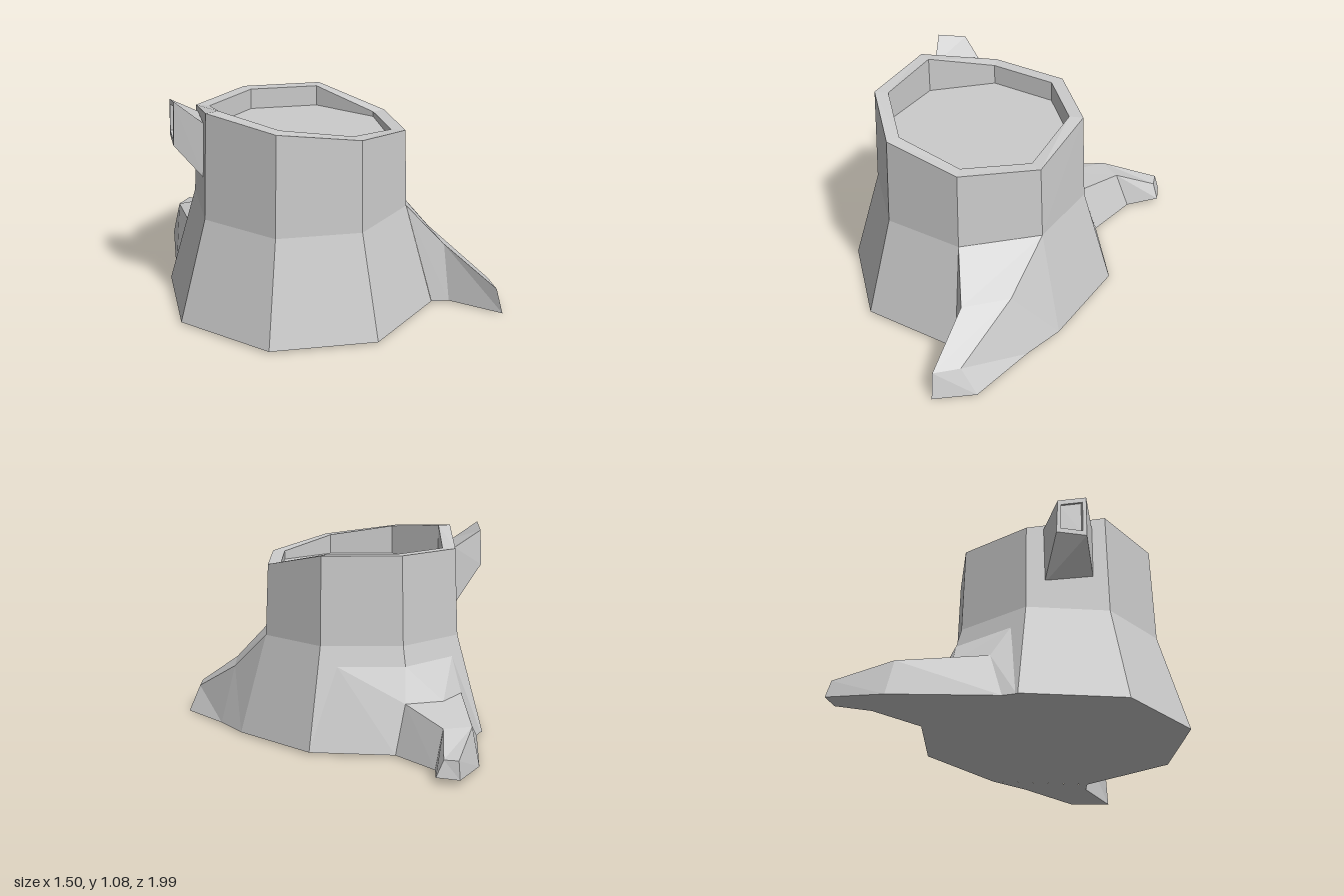
import * as THREE from 'three';

const grey = () => new THREE.MeshStandardMaterial({ color: 0xcccccc, flatShading: true });

// Skins a list of cross-sections (equal point counts) and closes the ends.
function loft(name, sections, { capStart = false, capEnd = true } = {}) {
  const pos = [];
  const face = (pts) => {
    for (let i = 1; i < pts.length - 1; i++) pos.push(...pts[0], ...pts[i], ...pts[i + 1]);
  };
  const n = sections[0].length;
  for (let i = 0; i < sections.length - 1; i++) {
    const a = sections[i], b = sections[i + 1];
    for (let j = 0; j < n; j++) {
      const k = (j + 1) % n;
      face([a[j], a[k], b[k], b[j]]);
    }
  }
  if (capStart) face([...sections[0]].reverse());
  if (capEnd) face(sections[sections.length - 1]);
  const geo = new THREE.BufferGeometry();
  geo.setAttribute('position', new THREE.Float32BufferAttribute(pos, 3));
  geo.computeVertexNormals();
  const mesh = new THREE.Mesh(geo, grey());
  mesh.name = name;
  return mesh;
}

// Eight-sided ring around the trunk axis; y is a number or one height per corner.
function ring(radius, y) {
  return Array.from({ length: 8 }, (_, i) => {
    const a = (-i * Math.PI) / 4;
    const h = Array.isArray(y) ? y[(8 - i) % 8] : y;
    return [-0.065 + radius * Math.cos(a), h, 0.225 + radius * Math.sin(a)];
  });
}

// Moves a section towards its centre, then shifts it along x.
function inset(section, factor, dx) {
  const c = [0, 1, 2].map((k) => section.reduce((s, p) => s + p[k], 0) / section.length);
  return section.map((p) => p.map((v, k) => c[k] + (v - c[k]) * factor + (k === 0 ? dx : 0)));
}

export function createModel() {
  const group = new THREE.Group();
  group.name = 'treeStump';

  // Flared trunk with a slanted rim and a sunken flat top
  const rim = [0.89, 0.91, 0.97, 1.02, 1.05, 0.97, 0.97, 0.97];
  group.add(loft('trunk', [
    ring(0.685, 0.01),
    ring(0.54, 0.52),
    ring(0.523, rim),
    ring(0.453, rim),
    ring(0.453, 0.865),
  ], { capStart: true }));

  // Root sweeping forward on the left side
  group.add(loft('frontRoot', [
    [[0.62, 0.01, 0.225], [0.475, 0.52, 0.225], [0.317, 0.52, 0.607], [0.42, 0.01, 0.71]],
    [[0.66, 0.01, 0.45], [0.57, 0.31, 0.48], [0.485, 0.31, 0.71], [0.5, 0.01, 0.75]],
    [[0.745, 0, 0.8], [0.67, 0.13, 0.84], [0.62, 0.13, 0.965], [0.645, 0, 0.99]],
  ]));

  // Long bent root at the back, with a ridge where it meets the trunk
  group.add(loft('backRoot', [
    [[-0.54, 0.01, -0.26], [-0.39, 0.42, -0.21], [-0.065, 0.42, -0.345], [0.25, 0.42, -0.215], [0.42, 0.01, -0.26]],
    [[-0.49, 0.01, -0.31], [-0.39, 0.25, -0.32], [-0.23, 0.25, -0.44], [-0.03, 0.25, -0.42], [0.045, 0.01, -0.47]],
    [[-0.25, 0.01, -0.79], [-0.235, 0.195, -0.74], [-0.235, 0.195, -0.74], [-0.09, 0.195, -0.72], [-0.03, 0.01, -0.76]],
    [[-0.04, 0.03, -1], [-0.045, 0.115, -0.975], [-0.045, 0.115, -0.975], [0.005, 0.11, -0.92], [0.045, 0.03, -0.92]],
  ]));

  // Short cut branch with a slightly recessed end
  const end = [[-0.675, 0.86, 0.06], [-0.67, 1.08, 0.065], [-0.62, 1.05, -0.07], [-0.62, 0.87, -0.08]];
  group.add(loft('branchStub', [
    [[-0.565, 0.7, 0.16], [-0.565, 0.98, 0.16], [-0.47, 0.965, -0.065], [-0.47, 0.66, -0.065]],
    end,
    inset(end, 0.75, 0),
    inset(end, 0.75, 0.015),
  ]));

  return group;
}
